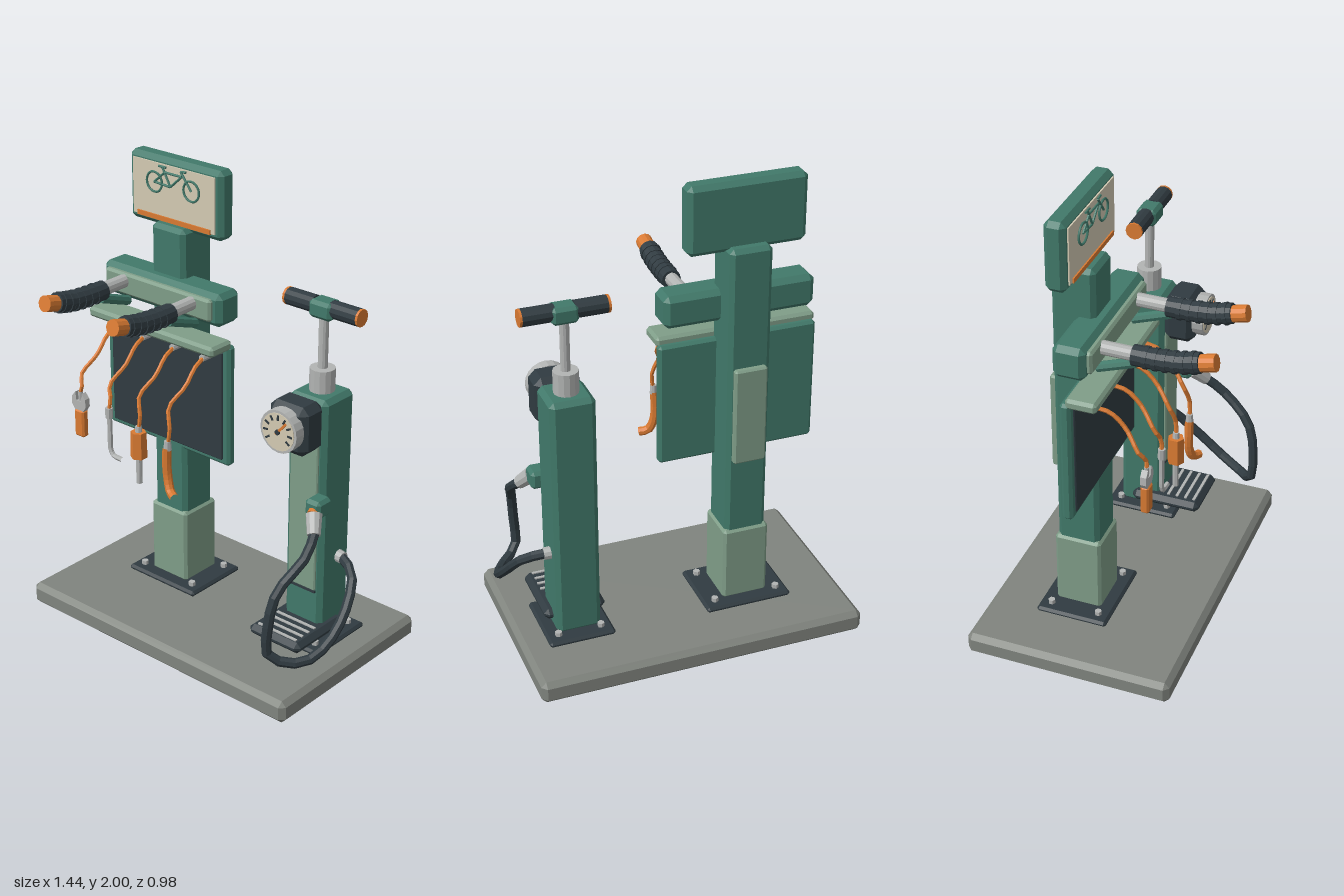
import * as THREE from 'three';
import { ConvexGeometry } from 'three/addons/geometries/ConvexGeometry.js';

const V = (x, y, z) => new THREE.Vector3(x, y, z);

// Faceted normals for a low-poly look
function flat(geo) {
  const g = geo.index ? geo.toNonIndexed() : geo;
  g.computeVertexNormals();
  return g;
}

export function createModel() {
  const mat = (name, color) => Object.assign(new THREE.MeshStandardMaterial({ color }), { name });
  const green = mat('green paint', 0x41796a);
  const sage = mat('sage panel', 0x7f9d88);
  const charcoal = mat('charcoal rubber', 0x303b41);
  const silver = mat('silver metal', 0xb2b4b3);
  const orange = mat('orange accent', 0xd97a32);
  const cream = mat('cream face', 0xd3cab3);
  const concrete = mat('concrete', 0x80847e);

  const root = new THREE.Group();
  root.name = 'bikeRepairStation';
  const group = (name) => {
    const g = new THREE.Group();
    g.name = name;
    root.add(g);
    return g;
  };
  const mesh = (parent, name, geo, material) => {
    const m = new THREE.Mesh(geo, material);
    m.name = name;
    parent.add(m);
    return m;
  };

  // Box with chamfered edges, given by its extents
  function box(parent, name, material, [x0, x1], [y0, y1], [z0, z1], c = 0.01) {
    const hx = (x1 - x0) / 2, hy = (y1 - y0) / 2, hz = (z1 - z0) / 2;
    let geo;
    if (c === 0) geo = new THREE.BoxGeometry(hx * 2, hy * 2, hz * 2);
    else {
      const pts = [];
      for (const sx of [-1, 1]) for (const sy of [-1, 1]) for (const sz of [-1, 1]) {
        pts.push(V(sx * hx, sy * (hy - c), sz * (hz - c)));
        pts.push(V(sx * (hx - c), sy * hy, sz * (hz - c)));
        pts.push(V(sx * (hx - c), sy * (hy - c), sz * hz));
      }
      geo = new ConvexGeometry(pts);
    }
    const m = mesh(parent, name, geo, material);
    m.position.set((x0 + x1) / 2, (y0 + y1) / 2, (z0 + z1) / 2);
    return m;
  }

  // Cylinder from point a to point b
  function rod(parent, name, material, a, b, ra, rb = ra, sides = 12) {
    const dir = b.clone().sub(a);
    const m = mesh(parent, name, flat(new THREE.CylinderGeometry(rb, ra, dir.length(), sides)), material);
    m.position.copy(a).add(b).multiplyScalar(0.5);
    m.quaternion.setFromUnitVectors(V(0, 1, 0), dir.normalize());
    return m;
  }

  function tube(parent, name, material, pts, r, segments, sides = 7) {
    const curve = new THREE.CatmullRomCurve3(pts);
    return mesh(parent, name, flat(new THREE.TubeGeometry(curve, segments, r, sides)), material);
  }

  // Anchor plate with four bolts
  function footPlate(parent, xs, zs) {
    box(parent, 'footPlate', charcoal, xs, [0.1, 0.125], zs, 0.01);
    for (const x of [xs[0] + 0.05, xs[1] - 0.05]) for (const z of [zs[0] + 0.05, zs[1] - 0.05])
      rod(parent, 'anchorBolt', silver, V(x, 0.12, z), V(x, 0.143, z), 0.015, 0.015, 6);
  }

  box(root, 'baseSlab', concrete, [-0.72, 0.7], [0, 0.1], [-0.49, 0.4], 0.022);

  // Main post
  const post = group('stand');
  footPlate(post, [-0.48, -0.1], [-0.275, 0.035]);
  box(post, 'post', green, [-0.38, -0.2], [0.11, 1.735], [-0.21, -0.03], 0.018);
  box(post, 'postSleeve', sage, [-0.39, -0.19], [0.12, 0.46], [-0.22, -0.02], 0.012);
  box(post, 'backPanel', sage, [-0.36, -0.22], [0.79, 1.22], [-0.235, -0.2], 0.008);

  // Sign with bicycle emblem
  const sign = group('sign');
  box(sign, 'signBoard', green, [-0.54, -0.04], [1.71, 2], [-0.165, -0.078], 0.02);
  box(sign, 'signFace', cream, [-0.51, -0.068], [1.74, 1.975], [-0.08, -0.072], 0);
  box(sign, 'signStripe', orange, [-0.485, -0.09], [1.737, 1.757], [-0.074, -0.066], 0);
  const bz = -0.067;
  for (const x of [-0.387, -0.188]) {
    const wheel = mesh(sign, 'emblemWheel', new THREE.TorusGeometry(0.042, 0.005, 5, 20), green);
    wheel.position.set(x, 1.895, bz);
  }
  const frame = [
    [-0.387, 1.895, -0.3, 1.89], [-0.387, 1.895, -0.33, 1.945], [-0.3, 1.89, -0.342, 1.965],
    [-0.33, 1.945, -0.238, 1.945], [-0.3, 1.89, -0.238, 1.945], [-0.243, 1.965, -0.188, 1.895],
    [-0.362, 1.966, -0.323, 1.966], [-0.243, 1.965, -0.215, 1.968],
  ];
  for (const [x0, y0, x1, y1] of frame)
    rod(sign, 'emblemFrame', green, V(x0, y0, bz), V(x1, y1, bz), 0.005, 0.005, 6);

  // Hanging bar with two support arms
  const hanger = group('hanger');
  box(hanger, 'crossBar', green, [-0.61, 0.035], [1.39, 1.53], [-0.115, 0.018], 0.022);
  box(hanger, 'crossBarPanel', sage, [-0.58, 0], [1.415, 1.51], [0.005, 0.038], 0.01);
  for (const x of [-0.47, -0.097]) {
    rod(hanger, 'armTube', silver, V(x, 1.477, 0.02), V(x, 1.475, 0.19), 0.028);
    rod(hanger, 'armBrace', green, V(x, 1.385, 0.015), V(x, 1.44, 0.17), 0.021, 0.021, 8);
    const path = [V(x, 1.472, 0.16), V(x, 1.472, 0.26), V(x, 1.48, 0.35), V(x, 1.497, 0.425)];
    for (let i = 0; i < 3; i++) rod(hanger, 'armGrip', charcoal, path[i], path[i + 1], 0.041);
    const curve = new THREE.CatmullRomCurve3(path);
    for (let i = 0; i < 6; i++) {
      const p = curve.getPointAt(0.2 + i * 0.14), t = curve.getTangentAt(0.2 + i * 0.14).multiplyScalar(0.008);
      rod(hanger, 'gripRib', charcoal, p.clone().sub(t), p.clone().add(t), 0.045);
    }
    rod(hanger, 'armTip', orange, V(x, 1.494, 0.42), V(x, 1.51, 0.485), 0.034);
  }

  // Tool board and shelf
  const board = group('toolBoard');
  box(board, 'boardBack', green, [-0.64, 0.045], [0.76, 1.3], [-0.075, -0.03], 0.012);
  box(board, 'boardFace', charcoal, [-0.608, 0.013], [0.785, 1.27], [-0.04, -0.023], 0.004);
  box(board, 'shelf', sage, [-0.645, 0.047], [1.285, 1.33], [-0.05, 0.077], 0.012);

  // Tools on cords
  const tools = group('tools');
  const tz = 0.24;
  const cords = [[-0.54, 1.02], [-0.375, 0.99], [-0.208, 0.95], [-0.045, 0.94]];
  for (const [x, end] of cords) {
    rod(tools, 'cordHook', silver, V(x, 1.25, -0.03), V(x, 1.25, 0.035), 0.015, 0.015, 8);
    tube(tools, 'cord', orange, [V(x, 1.25, 0.02), V(x + 0.012, 1.23, 0.09), V(x + 0.016, 1.17, 0.15),
      V(x - 0.016, 1.09, 0.215), V(x + 0.006, (1.09 + end) / 2, 0.235), V(x, end, tz)], 0.009, 12, 6);
  }
  // Open-ended wrench
  const jaw = new THREE.Shape([[-0.02, 0], [0.02, 0], [0.04, 0.03], [0.038, 0.065], [0.018, 0.088], [0.014, 0.05],
    [-0.014, 0.05], [-0.018, 0.088], [-0.038, 0.065], [-0.04, 0.03]].map(([x, y]) => new THREE.Vector2(x, y)));
  const head = mesh(tools, 'wrenchHead', new THREE.ExtrudeGeometry(jaw, { depth: 0.025, bevelEnabled: false }), silver);
  head.position.set(-0.54, 0.935, tz - 0.0125);
  rod(tools, 'wrenchLink', silver, V(-0.54, 0.98, tz), V(-0.54, 1.025, tz), 0.01, 0.01, 8);
  box(tools, 'wrenchHandle', orange, [-0.567, -0.513], [0.82, 0.945], [tz - 0.018, tz + 0.018], 0.008);
  // Hex key
  rod(tools, 'hexKeyCollar', silver, V(-0.375, 0.955, tz), V(-0.375, 1, tz), 0.016, 0.016, 8);
  tube(tools, 'hexKey', silver, [V(-0.373, 0.97, tz), V(-0.372, 0.88, tz), V(-0.37, 0.81, tz), V(-0.355, 0.788, tz),
    V(-0.305, 0.783, tz)], 0.011, 14, 6);
  // Screwdriver
  rod(tools, 'screwdriverCap', silver, V(-0.208, 0.94, tz), V(-0.208, 0.97, tz), 0.016, 0.013, 8);
  rod(tools, 'screwdriverHandle', orange, V(-0.208, 0.83, tz), V(-0.208, 0.945, tz), 0.036, 0.033, 6);
  rod(tools, 'screwdriverShaft', silver, V(-0.208, 0.71, tz), V(-0.208, 0.84, tz), 0.013, 0.013, 8);
  // Tyre lever
  rod(tools, 'leverCollar', silver, V(-0.047, 0.915, tz), V(-0.047, 0.955, tz), 0.017, 0.014, 8);
  tube(tools, 'tyreLever', orange, [V(-0.05, 0.925, tz), V(-0.053, 0.85, tz), V(-0.046, 0.78, tz),
    V(-0.025, 0.735, tz + 0.01), V(0.01, 0.725, tz + 0.025)], 0.019, 10, 8);

  // Pump column
  const pump = group('pump');
  footPlate(pump, [0.31, 0.595], [-0.27, 0.05]);
  box(pump, 'pumpColumn', green, [0.355, 0.545], [0.12, 1.21], [-0.215, -0.025], 0.02);
  box(pump, 'pumpFrontPanel', sage, [0.38, 0.52], [0.36, 1.06], [-0.03, -0.015], 0.005);
  box(pump, 'panelTrim', charcoal, [0.38, 0.52], [0.35, 0.36], [-0.03, -0.016], 0);
  rod(pump, 'pumpCollar', silver, V(0.45, 1.2, -0.122), V(0.45, 1.305, -0.122), 0.052, 0.052, 14);
  rod(pump, 'plungerRod', silver, V(0.45, 1.3, -0.122), V(0.45, 1.53, -0.122), 0.02);
  box(pump, 'handleHub', green, [0.398, 0.508], [1.517, 1.59], [-0.165, -0.08], 0.014);
  for (const s of [-1, 1]) {
    const at = (d) => V(0.45 + s * d, 1.56, -0.122);
    rod(pump, 'handleGrip', charcoal, at(0.04), at(0.172), 0.036);
    rod(pump, 'handleCap', orange, at(0.172), at(0.182), 0.036);
  }

  // Foot pedal with treads
  box(pump, 'pedal', charcoal, [0.315, 0.58], [0.155, 0.205], [-0.155, 0.16], 0.02);
  rod(pump, 'pedalSupport', charcoal, V(0.45, 0.12, 0.01), V(0.45, 0.165, 0.01), 0.05);
  for (const z of [0.01, 0.05, 0.09, 0.13])
    box(pump, 'pedalTread', silver, [0.35, 0.55], [0.2, 0.21], [z - 0.006, z + 0.006], 0);

  // Pressure gauge
  const gauge = group('gauge');
  box(gauge, 'gaugeHousing', charcoal, [0.355, 0.545], [1.01, 1.22], [-0.03, 0.108], 0.03);
  const gx = 0.45, gy = 1.122;
  rod(gauge, 'gaugeRim', silver, V(gx, gy, 0.1), V(gx, gy, 0.147), 0.09, 0.09, 20);
  rod(gauge, 'gaugeDial', cream, V(gx, gy, 0.143), V(gx, gy, 0.15), 0.079, 0.079, 20);
  for (let i = 0; i < 9; i++) {
    const a = -0.6 + i * (Math.PI + 1.2) / 8;
    const tick = mesh(gauge, 'gaugeTick', new THREE.BoxGeometry(0.022, 0.008, 0.004), charcoal);
    tick.position.set(gx + Math.cos(a) * 0.06, gy + Math.sin(a) * 0.06, 0.151);
    tick.rotation.z = a;
  }
  const needle = mesh(gauge, 'gaugeNeedle', new THREE.BoxGeometry(0.075, 0.01, 0.005), orange);
  needle.position.set(gx + 0.016, gy + 0.018, 0.153);
  needle.rotation.z = 0.85;
  rod(gauge, 'needlePivot', charcoal, V(gx, gy, 0.148), V(gx, gy, 0.157), 0.011, 0.011, 10);

  // Hose and fittings
  const hose = group('airHose');
  box(hose, 'valveBlock', green, [0.505, 0.582], [0.73, 0.81], [-0.04, 0.048], 0.014);
  rod(hose, 'valveRing', orange, V(0.548, 0.765, 0.03), V(0.556, 0.757, 0.056), 0.024);
  rod(hose, 'hoseFitting', silver, V(0.556, 0.757, 0.045), V(0.596, 0.698, 0.095), 0.034, 0.028, 10);
  tube(hose, 'hose', charcoal, [V(0.59, 0.71, 0.08), V(0.615, 0.64, 0.165), V(0.58, 0.52, 0.3), V(0.565, 0.365, 0.335),
    V(0.565, 0.235, 0.325), V(0.655, 0.2, 0.24), V(0.692, 0.23, 0.15), V(0.697, 0.33, 0.02),
    V(0.645, 0.455, -0.1), V(0.555, 0.487, -0.14)], 0.021, 20, 8);
  rod(hose, 'hoseSocket', silver, V(0.53, 0.487, -0.14), V(0.572, 0.484, -0.136), 0.028, 0.026, 10);
  return root;
}
